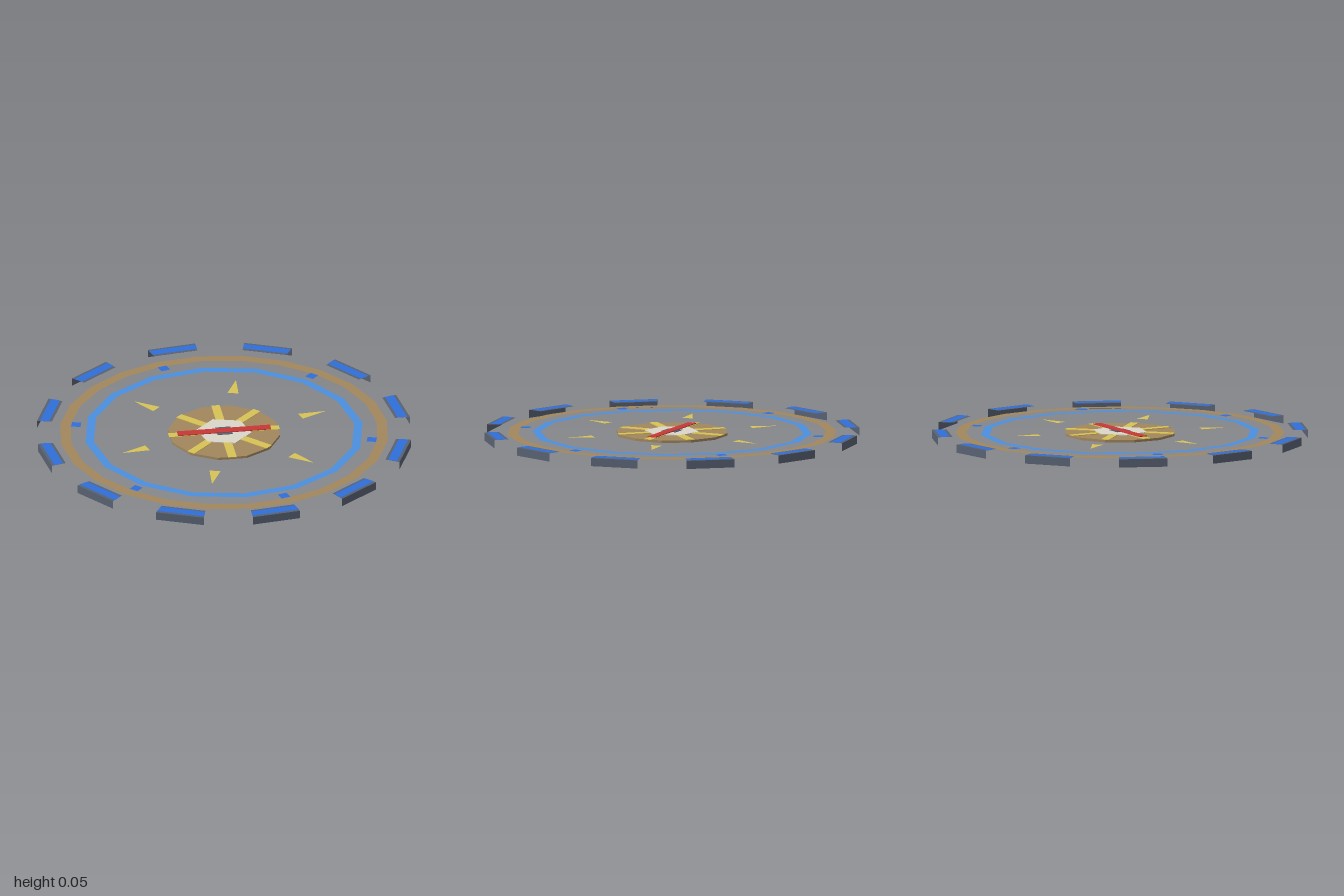
import * as THREE from 'three';

const mat = (name, color) => {
  const m = new THREE.MeshStandardMaterial({ color, side: THREE.DoubleSide, flatShading: true });
  m.name = name;
  return m;
};

export function createModel() {
  const group = new THREE.Group();
  const brown = mat('bronze brown', 0xa2875d);
  const skyBlue = mat('sky blue', 0x4b8fdf);
  const deepBlue = mat('deep blue', 0x2f6fda);
  const gold = mat('gold', 0xd8c356);
  const slate = mat('slate grey', 0x586172);
  const pale = mat('pale stone', 0xdcd6ca);
  const red = mat('red', 0xc83838);

  const add = (name, geometry, material, turn = 0) => {
    const mesh = new THREE.Mesh(geometry, material);
    mesh.name = name;
    mesh.rotation.y = -turn;
    group.add(mesh);
  };
  const polar = (r, a) => new THREE.Vector2(r * Math.cos(a), r * Math.sin(a));

  // Flat outline lying face up at a height
  const flat = (points, y) =>
    new THREE.ShapeGeometry(new THREE.Shape(points)).rotateX(-Math.PI / 2).translate(0, y, 0);

  // Straight-sided flat ring segment
  const sweep = Math.PI / 12;
  const segment = (inner, outer, y) => flat([
    polar(inner, -sweep), polar(outer, -sweep), polar(outer, 0), polar(inner, 0),
  ], y);

  // Upright prism with a corner on the x axis
  const prism = (r, sides, bottom, top) =>
    new THREE.CylinderGeometry(r, r, top - bottom, sides)
      .rotateY(Math.PI / 2).translate(0, (top + bottom) / 2, 0);

  // Outer guards: an outside wall and a roof, open inward and below, with blue panels
  const height = 0.044;
  for (let i = 0; i < 12; i++) {
    const a = i * Math.PI / 6;
    add('guardWall', new THREE.CylinderGeometry(1, 1, height, 1, 1, true, Math.PI / 2 - sweep, sweep)
      .translate(0, height / 2, 0), slate, a);
    add('guardRoof', segment(0.92, 1, height), slate, a);
    add('guardPanel', segment(0.935, 0.985, height + 0.0015), deepBlue, a);
  }

  // Flat rings
  const ring = (inner, outer, sides) =>
    new THREE.RingGeometry(inner, outer, sides).rotateX(-Math.PI / 2).translate(0, 0.031, 0);
  add('outerRing', ring(0.82, 0.876, 24), brown);
  add('innerRing', ring(0.70, 0.745, 16), skyBlue);

  // Ring markers and pointers
  const pointer = [
    new THREE.Vector2(0.444, -0.03), new THREE.Vector2(0.595, 0), new THREE.Vector2(0.444, 0.03),
  ];
  for (let i = 0; i < 6; i++) {
    const a = i * Math.PI / 3;
    add('ringMarker', new THREE.PlaneGeometry(0.05, 0.05).rotateX(-Math.PI / 2)
      .translate(0.79, 0.034, 0), deepBlue, a);
    add('pointer', flat(pointer, 0.034), gold, a + Math.PI / 6);
  }

  // Central disc with spokes
  add('hubDisc', prism(0.3, 12, 0.023, 0.036), brown);
  for (let i = 0; i < 8; i++) {
    add('spoke', new THREE.BoxGeometry(0.175, 0.003, 0.045)
      .translate(0.21, 0.0375, 0), gold, i * Math.PI / 4);
  }

  // Hub plate, pivot and needle
  add('hubPlate', prism(0.147, 6, 0.036, 0.04), pale);
  add('pivot', prism(0.058, 4, 0.04, 0.043), slate);
  add('needle', new THREE.BoxGeometry(0.5, 0.004, 0.048)
    .translate(0, 0.044, 0), red, Math.PI / 4);

  return group;
}
